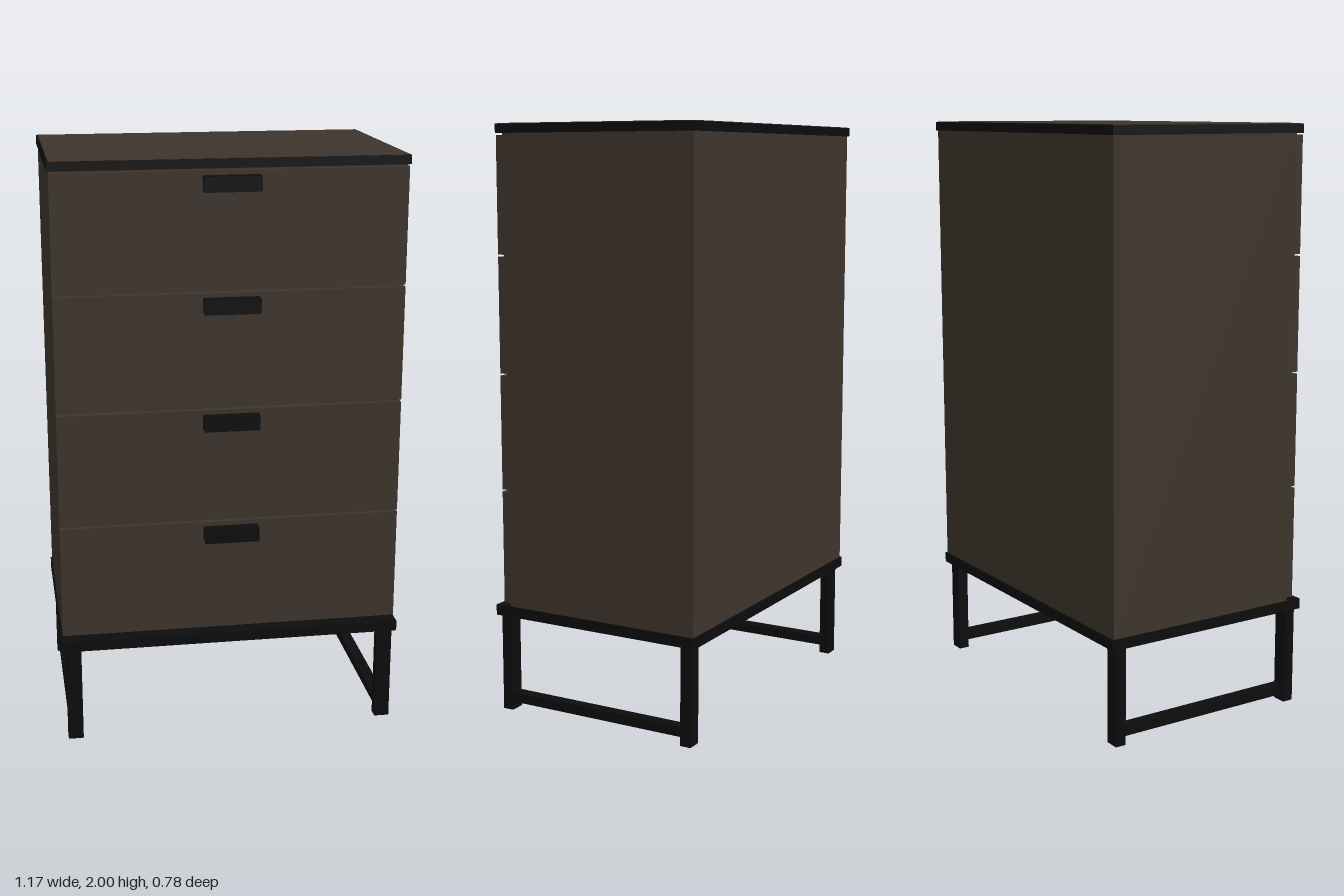
import * as THREE from 'three';

export function createModel() {
  const model = new THREE.Group();
  const wood = new THREE.MeshStandardMaterial({ name: 'dark brown wood', color: 0x3d342c });
  const metal = new THREE.MeshStandardMaterial({ name: 'black metal', color: 0x0c0c0c });

  // Box given by its lower and upper corners
  function box(name, mat, [x0, y0, z0], [x1, y1, z1], parent = model) {
    const mesh = new THREE.Mesh(new THREE.BoxGeometry(x1 - x0, y1 - y0, z1 - z0), mat);
    mesh.position.set((x0 + x1) / 2, (y0 + y1) / 2, (z0 + z1) / 2);
    mesh.name = name;
    parent.add(mesh);
    return mesh;
  }

  // Cabinet body, with the edged top board and its wooden inlay
  box('cabinetBody', wood, [-0.582, 0.374, -0.387], [0.582, 1.968, 0.327]);
  box('topBoard', metal, [-0.587, 1.968, -0.393], [0.587, 1.998, 0.352]);
  box('topInlay', wood, [-0.581, 1.996, -0.388], [0.581, 2.0, 0.346]);

  // Four drawers with folded tab handles
  const pitch = 0.396;
  for (let i = 0; i < 4; i++) {
    const drawer = new THREE.Group();
    drawer.name = 'drawer' + (i + 1);
    const y0 = 0.385 + i * pitch;
    const y1 = y0 + pitch - 0.007;
    box('drawerFront', wood, [-0.582, y0, 0.327], [0.582, y1, 0.352], drawer);

    const top = y1 - 0.015;
    const handle = new THREE.Group();
    handle.name = 'handle';
    box('handleShelf', metal, [-0.095, top - 0.006, 0.352], [0.092, top, 0.392], handle);
    box('handleLip', metal, [-0.095, top - 0.05, 0.386], [0.092, top - 0.006, 0.392], handle);
    box('handleBackPlate', metal, [-0.095, top - 0.05, 0.352], [0.092, top - 0.006, 0.355], handle);
    drawer.add(handle);
    model.add(drawer);
  }

  // Base frame under the cabinet
  box('basePlate', metal, [-0.587, 0.338, -0.393], [0.587, 0.374, 0.383]);

  // Legs, corner plates and floor rails, mirrored left and right
  const corner = new THREE.Shape([[0, 0], [0.2, 0], [0, 0.2]].map(([x, y]) => new THREE.Vector2(x, y)));
  const cornerGeo = new THREE.ExtrudeGeometry(corner, { depth: 0.008, bevelEnabled: false });
  cornerGeo.rotateX(Math.PI / 2);
  for (const s of [-1, 1]) {
    const side = new THREE.Group();
    side.name = s > 0 ? 'leftLegFrame' : 'rightLegFrame';
    const xa = s > 0 ? 0.522 : -0.574;
    const xb = xa + 0.052;
    box('frontLeg', metal, [xa, 0, 0.331], [xb, 0.338, 0.369], side);
    box('backLeg', metal, [xa, 0, -0.373], [xb, 0.338, -0.335], side);
    box('floorRail', metal, [xa + 0.006, 0.028, -0.335], [xb - 0.006, 0.062, 0.331], side);
    for (const t of [-1, 1]) {
      const plate = new THREE.Mesh(cornerGeo, metal);
      plate.name = 'cornerPlate';
      plate.position.set(s * 0.56, 0.338, t * 0.355);
      // Turn the right angle of the plate into its own corner
      plate.rotation.y = t < 0 ? (s < 0 ? 0 : -Math.PI / 2) : (s < 0 ? Math.PI / 2 : Math.PI);
      side.add(plate);
    }
    model.add(side);
  }
  return model;
}
